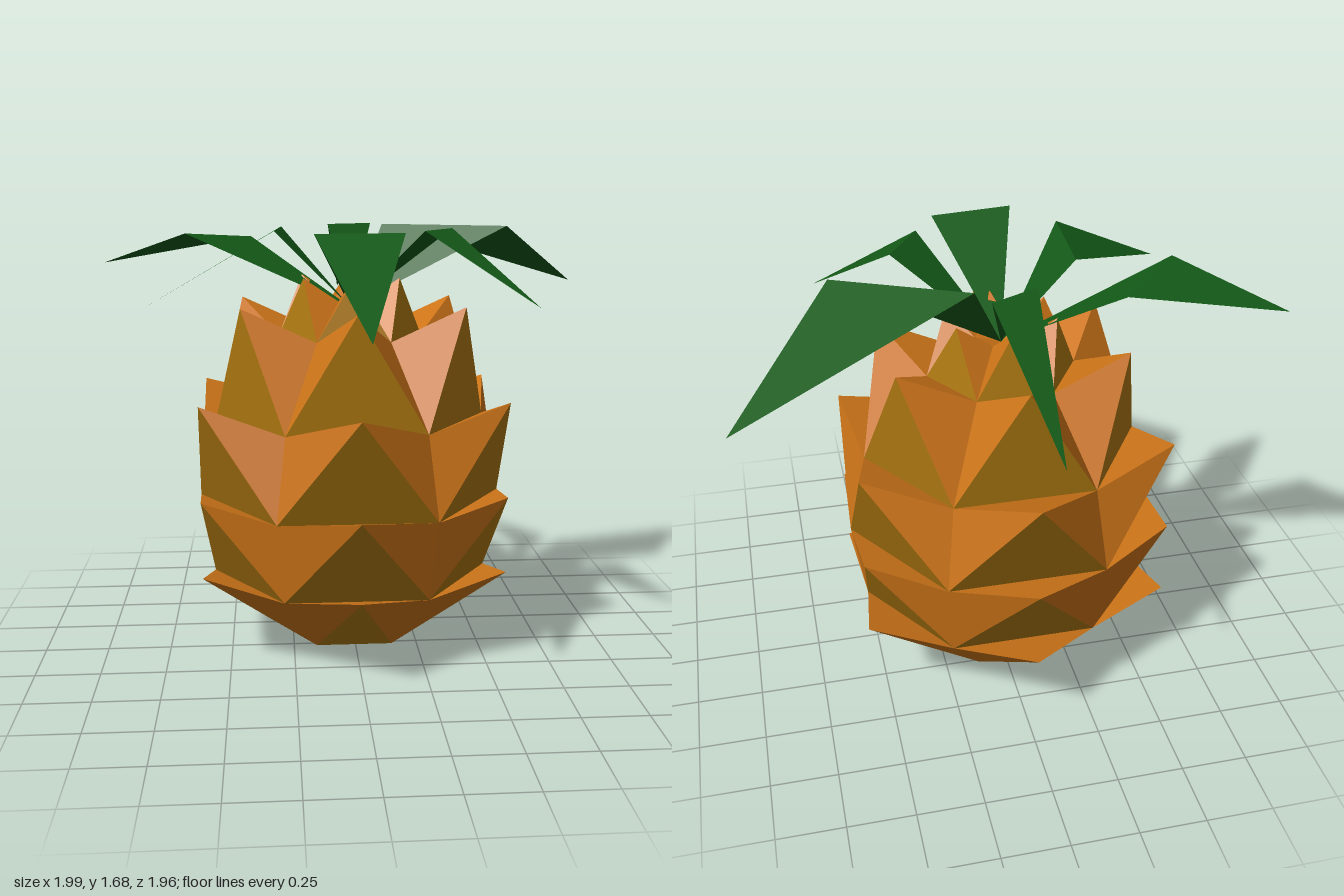
import * as THREE from 'three';

const CX = -0.015, CZ = -0.08; // axis of the fruit

// Point on an elliptical ring; angle in degrees from the front, towards +x
const ringPoint = ([rx, rz, y], deg) => {
  const a = THREE.MathUtils.degToRad(deg);
  return [CX + rx * Math.sin(a), y, CZ + rz * Math.cos(a)];
};

function facetMesh(name, triangles, color, side = THREE.FrontSide) {
  const geometry = new THREE.BufferGeometry();
  geometry.setAttribute('position', new THREE.Float32BufferAttribute(triangles.flat(2), 3));
  geometry.computeVertexNormals();
  const mesh = new THREE.Mesh(geometry, new THREE.MeshStandardMaterial({ color, side, flatShading: true }));
  mesh.name = name;
  return mesh;
}

// Hexagonal seams of the skin, bottom to top: [radius x, radius z, y]
const SEAMS = [
  [0.295, 0.28, 0.058], [0.55, 0.48, 0.30], [0.60, 0.54, 0.62],
  [0.53, 0.47, 0.94], [0.28, 0.265, 1.26], [0.10, 0.10, 1.40],
];
// Scale tips of each tier, one between each pair of seams
const TIPS = [
  [0.675, 0.64, 0.372], [0.675, 0.64, 0.67], [0.675, 0.64, 1.04],
  [0.49, 0.45, 1.39], [0.213, 0.19, 1.49],
];

// Six four-sided pointed scales around one tier
function createTier(i) {
  const front = [], sides = [];
  for (let deg = 0; deg < 360; deg += 60) {
    const tip = ringPoint(TIPS[i], deg);
    const [lowL, lowR] = [-30, 30].map((d) => ringPoint(SEAMS[i], deg + d));
    const [highL, highR] = [-30, 30].map((d) => ringPoint(SEAMS[i + 1], deg + d));
    front.push([lowL, lowR, tip]);
    sides.push([lowR, highR, tip], [highR, highL, tip], [highL, lowL, tip]);
  }
  const tier = new THREE.Group();
  tier.name = `scaleTier${i + 1}`;
  tier.add(facetMesh('scaleFronts', front, 0xb07a12), facetMesh('scaleSides', sides, 0xcc7418));
  return tier;
}

// Shallow cone that closes the skin at one end
function createCap(name, seam, y, up) {
  const triangles = [];
  for (let deg = 30; deg < 390; deg += 60) {
    const a = ringPoint(seam, deg), b = ringPoint(seam, deg + 60);
    triangles.push(up ? [[CX, y, CZ], a, b] : [[CX, y, CZ], b, a]);
  }
  return facetMesh(name, triangles, 0xcc7418);
}

// Each leaf: two shoulder corners, then the drooping tip
const LEAVES = {
  frontLeaf: [[-0.175, 1.68, 0.47], [0.145, 1.68, 0.43], [CX, 1.37, 0.975]],
  frontLeftLeaf: [[0.23, 1.68, 0.29], [0.36, 1.68, 0.08], [0.62, 1.42, 0.475]],
  backLeftLeaf: [[0.60, 1.68, -0.09], [0.13, 1.68, -0.31], [0.99, 1.42, -0.64]],
  backLeaf: [[0.09, 1.68, -0.40], [-0.09, 1.68, -0.31], [CX, 1.37, -0.98]],
  backRightLeaf: [[-0.40, 1.63, -0.35], [-0.65, 1.655, -0.09], [-1.0, 1.525, -0.375]],
  frontRightLeaf: [[-0.28, 1.68, -0.11], [-0.31, 1.68, 0.27], [-0.78, 1.42, 0.475]],
};

export function createModel() {
  const model = new THREE.Group();
  model.name = 'pineapple';

  // Fruit body
  const body = new THREE.Group();
  body.name = 'body';
  TIPS.forEach((_, i) => body.add(createTier(i)));
  body.add(createCap('base', SEAMS[0], 0, false));
  body.add(createCap('crownSocket', SEAMS[5], 1.37, true));

  // Crown of folded leaves
  const crown = new THREE.Group();
  crown.name = 'crown';
  const root = [CX, 1.37, CZ];
  for (const [name, [a, b, tip]] of Object.entries(LEAVES)) {
    crown.add(facetMesh(name, [[root, a, b], [a, tip, b]], 0x145a18, THREE.DoubleSide));
  }

  model.add(body, crown);
  return model;
}
